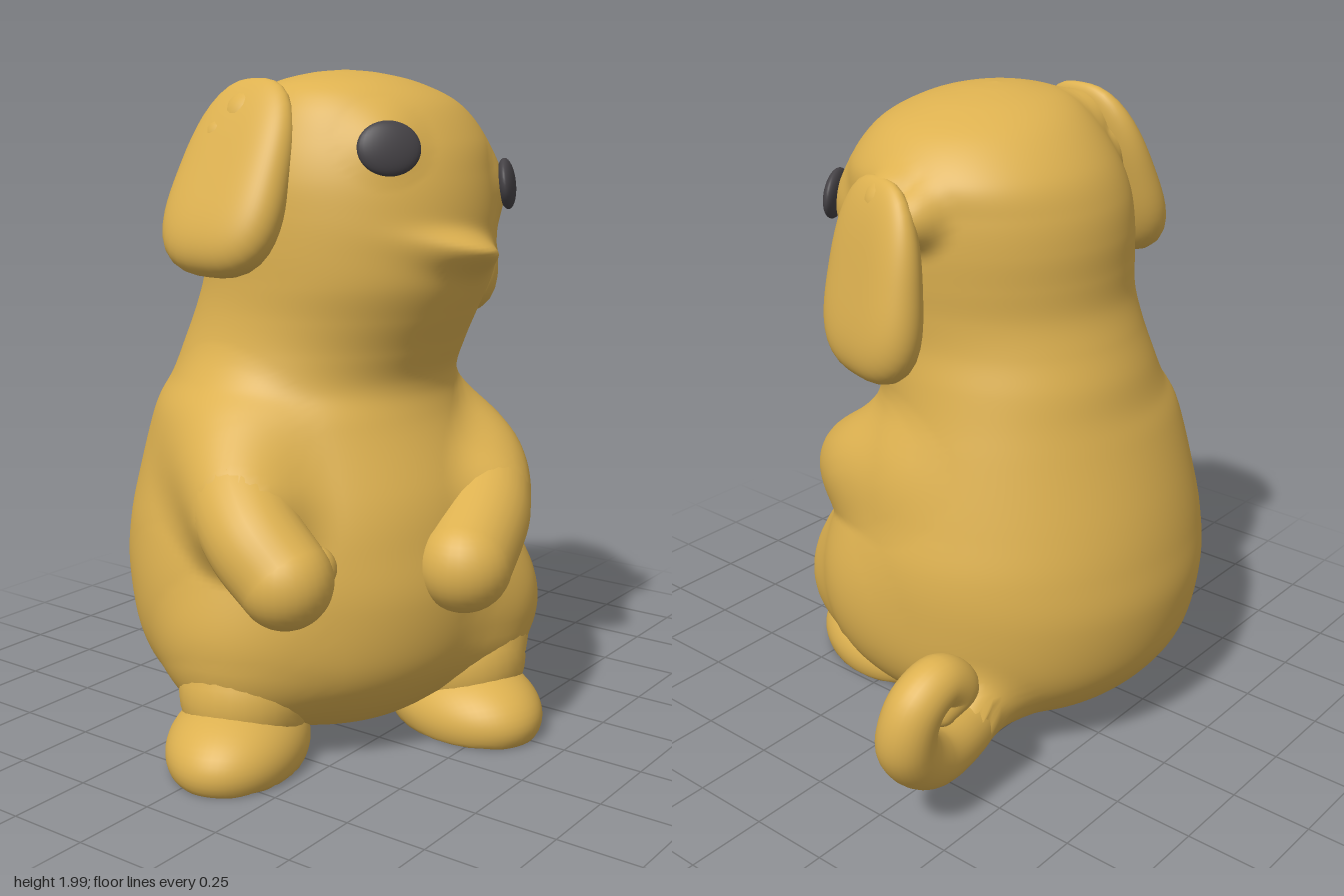
import * as THREE from 'three';
import { mergeVertices } from 'three/addons/utils/BufferGeometryUtils.js';

const fur = new THREE.MeshStandardMaterial({ color: 0xddb150 });
fur.name = 'golden fur';
const dark = new THREE.MeshStandardMaterial({ color: 0x454246 });
dark.name = 'dark eye';

const V = (a) => new THREE.Vector3(a[0], a[1], a[2]);

// limbs: points along the middle [x, y, z, radius]; blend = share of the length that melts into the body
const limbs = {
  leftArm: { blend: 0.6, pts: [[0.2, 0.86, 0.02, 0.2], [0.21, 0.81, 0.26, 0.16], [0.02, 0.71, 0.44, 0.145], [-0.21, 0.6, 0.52, 0.14]] },
  rightArm: { blend: 0.6, pts: [[-0.41, 0.94, -0.12, 0.19], [-0.58, 0.86, -0.01, 0.165], [-0.685, 0.73, 0.13, 0.142], [-0.695, 0.625, 0.25, 0.135]] },
  leftThigh: { blend: 1, pts: [[0.16, 0.45, 0.12, 0.29], [0.11, 0.38, 0.305, 0.245]] },
  leftShin: { blend: 0.25, pts: [[0.11, 0.38, 0.305, 0.245], [0.055, 0.21, 0.35, 0.2]] },
  rightThigh: { blend: 1, pts: [[-0.42, 0.45, -0.1, 0.28], [-0.51, 0.38, -0.035, 0.24]] },
  rightShin: { blend: 0.25, pts: [[-0.51, 0.38, -0.035, 0.24], [-0.56, 0.21, -0.01, 0.2]] },
  tail: { blend: 0.24, pts: [
    [0.28, 0.2, -0.26, 0.095], [0.5, 0.19, -0.33, 0.092], [0.68, 0.23, -0.375, 0.09], [0.79, 0.35, -0.4, 0.088],
    [0.77, 0.47, -0.42, 0.083], [0.69, 0.515, -0.43, 0.078], [0.615, 0.46, -0.43, 0.068], [0.64, 0.38, -0.4, 0.045],
  ] },
};
const eyes = {
  rightEye: { at: [-0.33, 1.785, 0.335], facing: [-0.62, 0.2, 0.76] },
  leftEye: { at: [0.2, 1.665, 0.395], facing: [0.45, 0.12, 0.88] },
};
// balls that swell the head where the ears grow out
const earRoots = [[0.35, 1.73, 0.02, 0.085], [0.35, 1.7, -0.06, 0.08], [-0.38, 1.855, -0.1, 0.095], [-0.42, 1.8, -0.16, 0.08]];

function named(name, geometry, material = fur) {
  const mesh = new THREE.Mesh(geometry, material);
  mesh.name = name;
  return mesh;
}

// centre and radius of a limb at share u of its length
function limbAt(curve, pts, u) {
  const s = curve.getUtoTmapping(u) * (pts.length - 1);
  const k = Math.min(Math.floor(s), pts.length - 2);
  return { c: curve.getPointAt(u), r: THREE.MathUtils.lerp(pts[k][3], pts[k + 1][3], s - k) };
}

// balls standing for the blended stretch of every limb, the eyelids and the ear roots
function blendBalls() {
  const limbBalls = Object.values(limbs).flatMap(({ pts, blend }) => {
    const curve = new THREE.CatmullRomCurve3(pts.map(V));
    return Array.from({ length: 25 }, (_, i) => limbAt(curve, pts, (blend * i) / 24));
  });
  const lidBalls = Object.values(eyes).map(({ at, facing }) => (
    { c: V(at).addScaledVector(V(facing).normalize(), -0.128), r: 0.115 }));
  const rootBalls = earRoots.map((e) => ({ c: V(e), r: e[3] }));
  return [{ balls: limbBalls, k: 0.12 }, { balls: [...lidBalls, ...rootBalls], k: 0.06 }];
}

// swell the body along its normals into a smooth union with the balls
function meltInto(geometry) {
  const groups = blendBalls();
  const pos = geometry.attributes.position, nor = geometry.attributes.normal;
  const p = new THREE.Vector3(), n = new THREE.Vector3(), q = new THREE.Vector3();
  for (let i = 0; i < pos.count; i++) {
    p.fromBufferAttribute(pos, i);
    n.fromBufferAttribute(nor, i);
    let t = 0;
    for (let step = 0; step < 14; step++) {
      q.copy(p).addScaledVector(n, t);
      let s = t;
      for (const { balls, k } of groups) {
        let d = Infinity;
        for (const b of balls) d = Math.min(d, q.distanceTo(b.c) - b.r);
        s = Math.min(s, d) - Math.max(k - Math.abs(s - d), 0) ** 2 / (4 * k);
      }
      if (s > -0.0005) break;
      t = Math.min(0.12, t - s);
    }
    q.copy(p).addScaledVector(n, t);
    pos.setXYZ(i, q.x, Math.max(q.y, 0.01), q.z);
  }
  geometry.computeVertexNormals();
}

// head and torso in one loft: [y, centre x, centre z, radius x, radius z]
function bodyGeometry() {
  const rows = [
    [0.03, -0.12, -0.07, 0.002, 0.002], [0.05, -0.12, -0.07, 0.27, 0.26], [0.1, -0.12, -0.07, 0.4, 0.38],
    [0.2, -0.12, -0.07, 0.52, 0.49], [0.32, -0.12, -0.07, 0.58, 0.56], [0.5, -0.12, -0.075, 0.6, 0.588],
    [0.65, -0.12, -0.08, 0.595, 0.57], [0.8, -0.12, -0.085, 0.56, 0.535], [1.0, -0.12, -0.105, 0.505, 0.455],
    [1.1, -0.1, -0.1, 0.46, 0.425], [1.2, -0.088, -0.07, 0.432, 0.43], [1.3, -0.085, -0.028, 0.417, 0.437],
    [1.4, -0.08, 0.008, 0.42, 0.443], [1.5, -0.075, 0.015, 0.427, 0.445], [1.6, -0.07, 0.015, 0.43, 0.443],
    [1.7, -0.065, 0.015, 0.425, 0.425], [1.8, -0.055, 0.02, 0.405, 0.385], [1.9, -0.075, 0.03, 0.335, 0.305],
    [1.96, -0.11, 0.03, 0.235, 0.21], [1.99, -0.12, 0.03, 0.11, 0.1], [2.0, -0.12, 0.03, 0.002, 0.002],
  ];
  const spline = (f) => new THREE.CatmullRomCurve3(rows.map(f), false, 'catmullrom', 0.5);
  const centre = spline((r) => new THREE.Vector3(r[1], r[0], r[2]));
  const radius = spline((r) => new THREE.Vector3(r[3], r[0], r[4]));
  const rings = 200, sides = 144, pos = [], idx = [];
  for (let i = 0; i <= rings; i++) {
    const c = centre.getPoint(i / rings), r = radius.getPoint(i / rings);
    for (let j = 0; j < sides; j++) {
      const a = (j / sides) * Math.PI * 2;
      const x = c.x + r.x * Math.cos(a);
      let z = c.z + r.z * Math.sin(a);
      // tilted beak ridge
      if (z > 0.1) {
        const dx = x + 0.13, dy = c.y - (1.495 - 0.17 * dx);
        z += 0.09 * Math.exp(-((dx / 0.14) ** 2)) * Math.exp(-((dy / (dy > 0 ? 0.04 : 0.055)) ** 2));
      }
      pos.push(x, c.y, z);
      if (i < rings) {
        const k = i * sides + j, n = i * sides + ((j + 1) % sides);
        idx.push(k, k + sides, n, n, k + sides, n + sides);
      }
    }
  }
  const g = new THREE.BufferGeometry();
  g.setAttribute('position', new THREE.Float32BufferAttribute(pos, 3));
  g.setIndex(idx);
  g.computeVertexNormals();
  meltInto(g);
  return g;
}

// tapered tube with round ends
function limb(name, pts, segments) {
  const group = new THREE.Group();
  group.name = name;
  const curve = new THREE.CatmullRomCurve3(pts.map(V));
  const g = new THREE.TubeGeometry(curve, segments, 1, 28, false);
  const pos = g.attributes.position, p = new THREE.Vector3();
  for (let n = 0; n < pos.count; n++) {
    const { c, r } = limbAt(curve, pts, Math.floor(n / 29) / segments);
    p.fromBufferAttribute(pos, n).sub(c).multiplyScalar(r).add(c);
    pos.setXYZ(n, p.x, p.y, p.z);
  }
  group.add(named(name + 'Skin', g));
  for (const e of [pts[0], pts[pts.length - 1]]) {
    const end = named(name + 'End', new THREE.SphereGeometry(e[3], 28, 20));
    end.position.copy(V(e));
    group.add(end);
  }
  return group;
}

// move every vertex of a ball by a rule, then weld and smooth
function shapedBall(rule) {
  const geometry = new THREE.SphereGeometry(1, 48, 32).rotateZ(-Math.PI / 2);
  geometry.deleteAttribute('uv');
  geometry.deleteAttribute('normal');
  const pos = geometry.attributes.position, p = new THREE.Vector3();
  for (let i = 0; i < pos.count; i++) {
    rule(p.fromBufferAttribute(pos, i));
    pos.setXYZ(i, p.x, p.y, p.z);
  }
  const out = mergeVertices(geometry, 1e-5);
  out.computeVertexNormals();
  return out;
}

// floppy ear: rounded slab, wider and thicker toward the bottom
function ear(name, position, rotation) {
  const mesh = named(name, shapedBall((p) => {
    const s = Math.sqrt(Math.hypot(p.y, p.z)), a = Math.atan2(p.y, p.z), n = 2.8;
    const r = s / (Math.abs(Math.cos(a) / 0.205) ** n + Math.abs(Math.sin(a) / 0.295) ** n) ** (1 / n);
    const y = r * Math.sin(a);
    p.set(p.x * (0.077 - 0.09 * y), y, r * Math.cos(a) * (1 - 0.5 * y));
  }));
  mesh.position.set(...position);
  mesh.rotation.set(...rotation);
  return mesh;
}

// flat-soled foot pointing along yaw
function foot(name, x, z, yaw) {
  const mesh = named(name, shapedBall((p) => p.set(p.x * 0.205, Math.max(p.y * 0.15, -0.055), p.z * 0.29)));
  mesh.position.set(x, 0.065, z);
  mesh.rotation.y = yaw;
  return mesh;
}

function eye(name, { at, facing }) {
  const ball = named(name, new THREE.SphereGeometry(1, 32, 20), dark);
  ball.scale.set(0.092, 0.077, 0.028);
  ball.position.set(...at);
  ball.lookAt(V(at).add(V(facing)));
  return ball;
}

export function createModel() {
  const model = new THREE.Group();
  model.name = 'sittingCreature';
  model.add(named('body', bodyGeometry()));
  for (const [name, data] of Object.entries(eyes)) model.add(eye(name, data));
  for (const [name, { pts }] of Object.entries(limbs)) model.add(limb(name, pts, pts.length * 10));
  model.add(ear('leftEar', [0.405, 1.515, 0.045], [0, -0.28, 0.1]));
  model.add(ear('rightEar', [-0.48, 1.7, -0.1], [0, -0.1, -0.38]));
  const thumb = named('rightThumb', new THREE.SphereGeometry(0.065, 20, 14));
  thumb.position.set(-0.62, 0.65, 0.29);
  model.add(thumb, foot('leftFoot', 0.035, 0.375, -0.36), foot('rightFoot', -0.61, 0, -1.15));
  return model;
}
